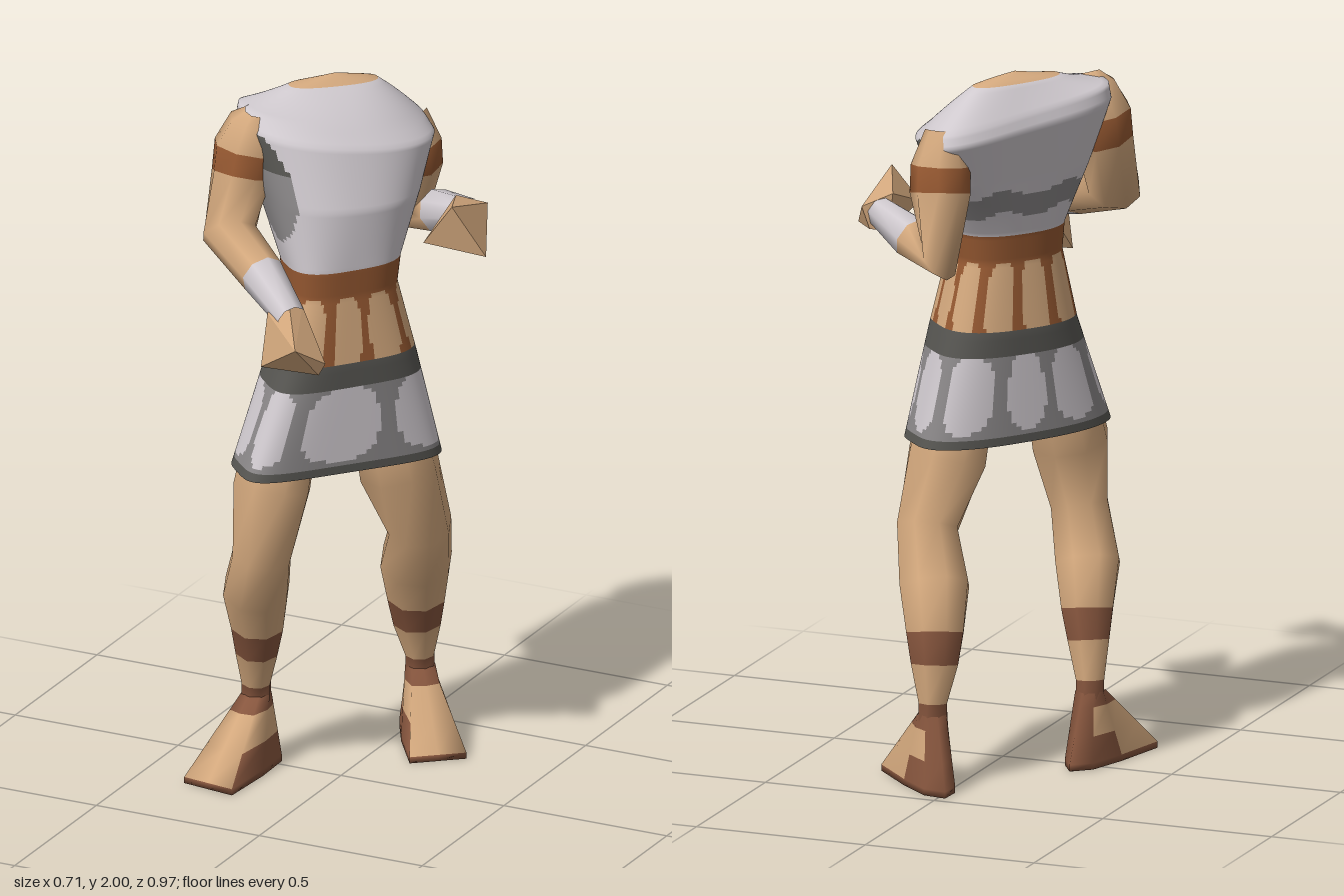
import * as THREE from 'three';
import { ConvexGeometry } from 'three/addons/geometries/ConvexGeometry.js';

const V = (x, y, z) => new THREE.Vector3(x, y, z);
const mat = (name, color) => new THREE.MeshStandardMaterial({ name, color });

// palette indices
const SKIN = 0, LIGHT = 1, GREY = 2, DARK = 3, BROWN = 4, LEATHER = 5;

export function createModel() {
  const model = new THREE.Group();
  model.name = 'headlessWarrior';
  const palette = [
    mat('skin', 0xd3a87d), mat('lightCloth', 0xcfc9ce), mat('greyCloth', 0x8a8788),
    mat('darkTrim', 0x575652), mat('brownWaist', 0x955831), mat('darkLeather', 0x87563e),
  ];

  // Skin through closed rings; pick(row, column) gives each cell its colour
  function loft(name, rings, pick) {
    const n = rings[0].length, lists = palette.map(() => []);
    for (let i = 0; i < rings.length - 1; i++) {
      for (let j = 0; j < n; j++) {
        const k = (j + 1) % n;
        const a = i * n + j, b = i * n + k, c = a + n, d = b + n;
        lists[pick(i, j)].push(a, b, d, a, d, c);
      }
    }
    const g = new THREE.BufferGeometry().setFromPoints(rings.flat());
    g.setIndex(lists.flat());
    let start = 0;
    lists.forEach((l, m) => {
      if (l.length) g.addGroup(start, l.length, m);
      start += l.length;
    });
    g.computeVertexNormals();
    const mesh = new THREE.Mesh(g, palette);
    mesh.name = name;
    model.add(mesh);
  }

  // Limb: stations are [x, y, z, radius, colour of the stretch that follows]
  function limb(name, stations, ref, sides = 8) {
    const pts = stations.map((s) => V(s[0], s[1], s[2]));
    const rings = pts.map((p, i) => {
      const t = V(0, 0, 0);
      if (i > 0) t.add(p.clone().sub(pts[i - 1]).normalize());
      if (i < pts.length - 1) t.add(pts[i + 1].clone().sub(p).normalize());
      t.normalize();
      const s1 = ref.clone().addScaledVector(t, -ref.dot(t)).normalize();
      const s2 = t.clone().cross(s1);
      return Array.from({ length: sides }, (_, j) => {
        const w = (j / sides) * Math.PI * 2, r = stations[i][3];
        return p.clone().addScaledVector(s1, r * Math.cos(w)).addScaledVector(s2, r * Math.sin(w));
      });
    });
    loft(name, rings, (i) => stations[i][4]);
  }

  // Body turned 45 degrees: a runs to its left, b runs forward
  const H = Math.SQRT1_2, N = 120;
  const body = (a, b, y) => V(H * (a + b), y, H * (b - a));

  // Torso keys: y, right, left, front, back, shoulder tilt, skew, backward sweep of the ends, front squareness
  const keys = [
    [0.94, -0.31, 0.29, 0.115, -0.18, -0.02, 0.13, 0, 5],
    [1.25, -0.2, 0.215, 0.115, -0.185, 0, 0.12, 0, 3.6],
    [1.45, -0.155, 0.165, 0.1, -0.165, 0, 0.12, 0, 3],
    [1.53, -0.16, 0.175, 0.105, -0.175, 0, 0.12, 0, 3],
    [1.7, -0.2, 0.255, 0.105, -0.23, -0.04, 0.1, 0.05, 3],
    [1.86, -0.245, 0.32, 0.05, -0.29, -0.15, 0.08, 0.05, 2.7],
    [1.9, -0.235, 0.3, -0.01, -0.28, -0.17, 0.08, 0.04, 2.6],
    [1.975, -0.09, 0.17, -0.145, -0.23, -0.04, 0.05, 0, 2.5],
    [2.0, 0.042, 0.042, -0.185, -0.185, 0, 0, 0, 2.5],
  ];
  const bodyRing = ([y, r, l, f, k, tilt, skew, sweep, square]) => Array.from({ length: N }, (_, j) => {
    const w = (j / N) * Math.PI * 2, power = j > N / 2 ? square : 2.5;
    const c = Math.cos(w), s = Math.sin(w);
    const q = (Math.abs(c) ** power + Math.abs(s) ** power) ** (-1 / power);
    const da = q * c * (l - r) / 2;
    const b = (f + k) / 2 - q * s * (f - k) / 2 - skew * da - sweep * (q * c) ** 2;
    return body((l + r) / 2 + da, b, y + tilt * da);
  });
  const rows = [];
  for (let i = 0; i < keys.length - 1; i++) {
    const steps = Math.ceil((keys[i + 1][0] - keys[i][0]) / 0.012);
    for (let s = 0; s < steps; s++) {
      rows.push(keys[i].map((v, c) => v + (keys[i + 1][c] - v) * s / steps));
    }
  }
  rows.push(keys[keys.length - 1]);

  // Rounded panels round the body, as [from, to] in degrees; 0 is left, 90 back, 270 front
  const skirtPanels = [
    [240, 287], [298, 335], [343, 382], [32, 66], [76, 101], [108, 136], [147, 195], [205, 232],
  ];
  const waistPanels = Array.from({ length: 11 }, (_, k) => {
    const mid = (263 + (k * 360) / 11) % 360;
    return [mid - 12.5, mid + 12.5];
  });
  const inPanel = (panels, w, y, y0, y1) => panels.some(([from, to]) => {
    const off = ((w - (from + to) / 2 + 900) % 360) - 180;
    const v = (y - (y0 + y1) / 2) / ((y1 - y0) / 2);
    return Math.abs(off / ((to - from) / 2)) ** 3 + Math.abs(v) ** 3 < 1;
  });
  function torsoColour(i, j) {
    const y = rows[i][0] + 0.006, w = ((j + 0.5) / N) * 360;
    if (y < 0.965) return DARK;
    if (y < 1.19) return inPanel(skirtPanels, w, y, 0.98, 1.19) ? LIGHT : GREY;
    if (y < 1.26) return DARK;
    if (y < 1.455) return inPanel(waistPanels, w, y, 1.24, 1.455) ? SKIN : BROWN;
    if (y < 1.535) return BROWN;
    if (y > 1.975) return SKIN;
    // shaded cloth under the arms and a wavy band on the back
    const side = Math.min(Math.abs(w - 195), w, 360 - w);
    if ((side / 34) ** 2 + ((y - 1.74) / 0.14) ** 2 < 1) return y > 1.78 ? DARK : GREY;
    const wave = 1.63 + 0.012 * Math.sin(w / 9);
    if (w > 30 && w < 150 && Math.abs(y - wave) < 0.035) return GREY;
    return LIGHT;
  }
  loft('torsoAndSkirt', rows.map(bodyRing), torsoColour);

  // Closed hips under the skirt
  const hem = bodyRing(keys[0]);
  loft('hips', [hem.map(() => body(0, -0.035, 0.95)), hem], () => SKIN);

  // Legs, bent at the knee, with bands on calf and ankle
  const across = V(H, 0, -H);
  limb('rightLeg', [
    [-0.135, 0.975, 0.115, 0.107, SKIN], [-0.142, 0.88, 0.14, 0.112, SKIN],
    [-0.155, 0.69, 0.175, 0.085, SKIN], [-0.21, 0.55, 0.1, 0.095, SKIN],
    [-0.225, 0.43, 0.06, 0.077, LEATHER], [-0.235, 0.345, 0.045, 0.062, SKIN],
    [-0.25, 0.24, 0.02, 0.042, LEATHER], [-0.25, 0.19, 0.02, 0.042, LEATHER],
  ], across);
  limb('leftLeg', [
    [0.09, 0.975, -0.13, 0.107, SKIN], [0.105, 0.88, -0.145, 0.115, SKIN],
    [0.14, 0.69, -0.205, 0.09, SKIN], [0.085, 0.55, -0.29, 0.102, SKIN],
    [0.065, 0.43, -0.335, 0.085, LEATHER], [0.06, 0.345, -0.35, 0.07, SKIN],
    [0.057, 0.24, -0.37, 0.042, LEATHER], [0.057, 0.19, -0.37, 0.042, LEATHER],
  ], across);

  // Feet: a wedge from the flat sole up to the ankle, with leather round heel and arch
  function foot(name, heel, toe, ankle, toeHalf, inner) {
    const d = toe.clone().sub(heel), len = d.length();
    d.normalize();
    const s = V(0, 1, 0).cross(d);
    const at = (o, t, w, y) => o.clone().addScaledVector(d, t).addScaledVector(s, w).setY(y);
    const half = [[1, 0], [1, toeHalf], [0.5, 0.066], [0.15, 0.045], [0, 0]];
    const outline = [...half, ...half.slice(1, 4).reverse().map(([t, w]) => [t, -w])];
    const sole = (y) => outline.map(([t, w]) => at(heel, t * len, w, y));
    const top = outline.map((_, j) => {
      const w = (j / 8) * Math.PI * 2;
      return at(ankle, 0.042 * Math.cos(w), 0.042 * Math.sin(w), 0.21);
    });
    const rim = sole(0.018);
    const mix = (f) => rim.map((p, j) => p.clone().lerp(top[j], f));
    const centre = sole(0).map(() => at(heel, len * 0.55, 0, 0));
    loft(name, [centre, sole(0), rim, mix(0.38), mix(0.8), top], (i, j) => {
      if (i < 2 || i === 4 || j === 3 || j === 4) return LEATHER;
      const fromInner = inner > 0 ? j : 7 - j;
      return i === 2 && [1, 2, 5].includes(fromInner) ? LEATHER : SKIN;
    });
  }
  foot('rightFoot', V(-0.23, 0, -0.08), V(-0.28, 0, 0.255), V(-0.25, 0, 0.02), 0.08, 1);
  foot('leftFoot', V(-0.02, 0, -0.47), V(0.19, 0, -0.215), V(0.057, 0, -0.37), 0.08, -1);

  // Arms with an upper band and a wrapped wrist
  limb('rightArm', [
    [-0.225, 1.95, 0.075, 0.03, SKIN], [-0.235, 1.92, 0.07, 0.065, SKIN],
    [-0.25, 1.84, 0.08, 0.093, BROWN],
    [-0.258, 1.765, 0.095, 0.086, SKIN], [-0.265, 1.61, 0.155, 0.078, SKIN],
    [-0.11, 1.55, 0.26, 0.062, LIGHT], [0.035, 1.485, 0.37, 0.042, LIGHT],
  ], V(-0.6, 0.1, 0.8));
  limb('leftArm', [
    [0.04, 1.86, -0.335, 0.05, SKIN], [0.04, 1.765, -0.355, 0.082, BROWN],
    [0.037, 1.69, -0.365, 0.084, SKIN], [0.015, 1.515, -0.43, 0.062, SKIN],
    [0.11, 1.555, -0.375, 0.062, LIGHT], [0.245, 1.6, -0.295, 0.042, LIGHT],
  ], V(-0.45, -0.15, 0.9));

  // Hands: fists that flare from the wrist
  function hand(name, points) {
    const mesh = new THREE.Mesh(new ConvexGeometry(points.map((p) => V(...p))), palette[SKIN]);
    mesh.name = name;
    model.add(mesh);
  }
  hand('rightHand', [
    [-0.04, 1.49, 0.37], [0.045, 1.51, 0.325], [0.02, 1.535, 0.36], [-0.01, 1.455, 0.335],
    [-0.04, 1.345, 0.41], [0.13, 1.345, 0.395], [0.148, 1.38, 0.39], [0.1, 1.44, 0.48],
  ]);
  hand('leftHand', [
    [0.28, 1.62, -0.34], [0.21, 1.65, -0.285], [0.215, 1.55, -0.3], [0.26, 1.555, -0.33],
    [0.355, 1.53, -0.18], [0.28, 1.685, -0.12], [0.21, 1.58, -0.085],
  ]);

  return model;
}
